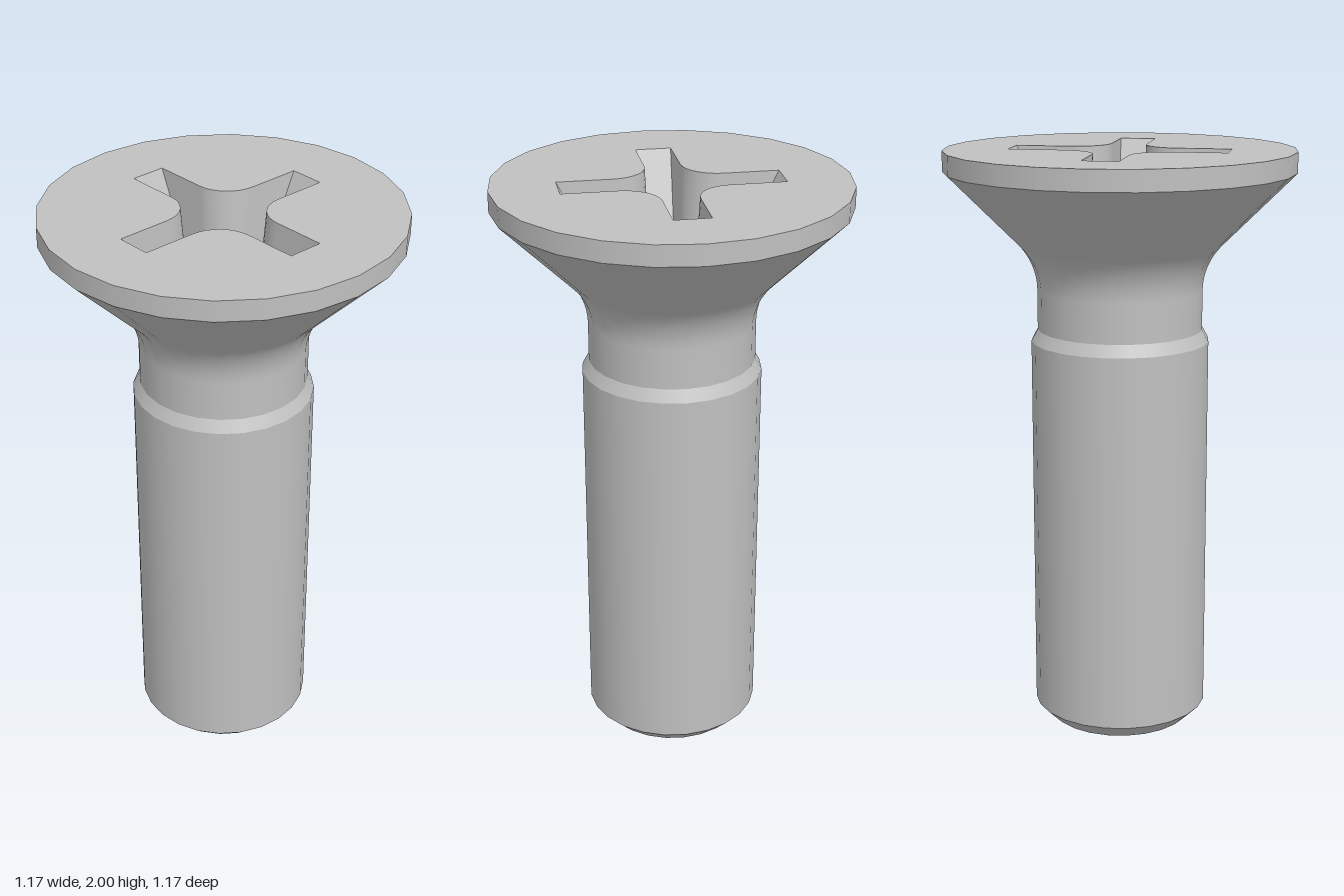
import * as THREE from 'three';

const SIDES = 24, TOP = 2, DEPTH = 0.6, REACH = 0.365, CORE = 0.06, ARC = 8, ROWS = 16;

// Grid surface from rows of points
function gridGeometry(rows) {
  const n = rows[0].length, index = [];
  for (let i = 0; i < rows.length - 1; i++) {
    for (let j = 0; j < n - 1; j++) {
      const a = i * n + j, b = a + n;
      index.push(a, b, a + 1, b, b + 1, a + 1);
    }
  }
  const g = new THREE.BufferGeometry();
  g.setAttribute('position', new THREE.Float32BufferAttribute(rows.flat(2), 3));
  g.setIndex(index);
  g.computeVertexNormals();
  return g;
}

// Outline of the recess wall in one quadrant at depth d: arm side, rounded corner, arm side
function wallOutline(d) {
  const end = REACH - (REACH - CORE) * d / DEPTH;
  const half = 0.06 - 0.045 * d, c = 0.18 - 0.092 * d, r = c - half;
  const cut = end < c ? Math.min(Math.asin(Math.min(1, (c - end) / r)), Math.PI / 4) : 0;
  const arc = [];
  for (let k = 0; k <= ARC; k++) {
    const t = Math.PI / 2 - cut - (Math.PI / 2 - 2 * cut) * k / ARC;
    arc.push([c - r * Math.cos(t), c - r * Math.sin(t)]);
  }
  const z = cut > 0 ? arc[0][1] : half;
  return [[end, z], ...arc, [z, end]];
}

export function createModel() {
  const model = new THREE.Group();
  const steel = new THREE.MeshStandardMaterial({ color: 0xc0c0c0 });
  steel.name = 'steel grey';

  const add = (name, geometry, parent = model) => {
    const mesh = new THREE.Mesh(geometry, steel);
    mesh.name = name;
    parent.add(mesh);
    return mesh;
  };
  const turned = (name, points) =>
    add(name, new THREE.LatheGeometry(points.map(p => new THREE.Vector2(...p)), SIDES));

  // Shank, one turned piece per sharp-edged section
  const tip = add('tipFace', new THREE.CircleGeometry(0.25, SIDES));
  tip.rotation.x = Math.PI / 2;
  turned('tipChamfer', [[0.25, 0], [0.302, 0.052]]);
  turned('shank', [[0.302, 0.052], [0.302, 1.36]]);
  turned('shoulder', [[0.302, 1.36], [0.28, 1.4]]);

  // Neck flowing through a fillet into the countersunk cone
  const neck = [[0.28, 1.4]], R = 0.217;
  for (let k = 0; k <= 8; k++) {
    const a = Math.PI / 4 * k / 8;
    neck.push([0.28 + R * (1 - Math.cos(a)), 1.535 + R * Math.sin(a)]);
  }
  neck.push([0.587, 1.931]);
  turned('neckAndCone', neck);
  turned('headRim', [[0.587, 1.931], [0.587, TOP]]);

  // Head face with a cross-shaped opening
  const face = new THREE.Shape();
  for (let i = 0; i < SIDES; i++) {
    const a = i / SIDES * Math.PI * 2;
    face[i ? 'lineTo' : 'moveTo'](0.587 * Math.cos(a), 0.587 * Math.sin(a));
  }
  const cross = [];
  for (let q = 0; q < 4; q++) {
    const a = q * Math.PI / 2;
    for (const [x, y] of wallOutline(0)) {
      cross.push(new THREE.Vector2(x, y).rotateAround(new THREE.Vector2(), a));
    }
  }
  face.holes.push(new THREE.Path(cross));
  const faceGeometry = new THREE.ShapeGeometry(face);
  faceGeometry.rotateX(-Math.PI / 2);
  faceGeometry.translate(0, TOP, 0);
  add('headFace', faceGeometry);

  // Cross recess: four rounded walls and four sloping arm floors
  const recess = new THREE.Group();
  recess.name = 'crossRecess';
  model.add(recess);
  const walls = [], floors = [];
  for (let i = 0; i <= ROWS; i++) {
    const d = DEPTH * i / ROWS, outline = wallOutline(d);
    const [x, z] = outline[0];
    walls.push(outline.map(p => [p[0], TOP - d, p[1]]));
    floors.push([[x, TOP - d, -z], [x, TOP - d, z]]);
  }
  const wallGeometry = gridGeometry(walls), floorGeometry = gridGeometry(floors);
  for (let q = 0; q < 4; q++) {
    add('recessWall', wallGeometry, recess).rotation.y = q * Math.PI / 2;
    add('recessArmFloor', floorGeometry, recess).rotation.y = q * Math.PI / 2;
  }
  const bottom = add('recessBottom', new THREE.PlaneGeometry(2 * CORE, 2 * CORE), recess);
  bottom.rotation.x = -Math.PI / 2;
  bottom.position.y = TOP - DEPTH;

  return model;
}
